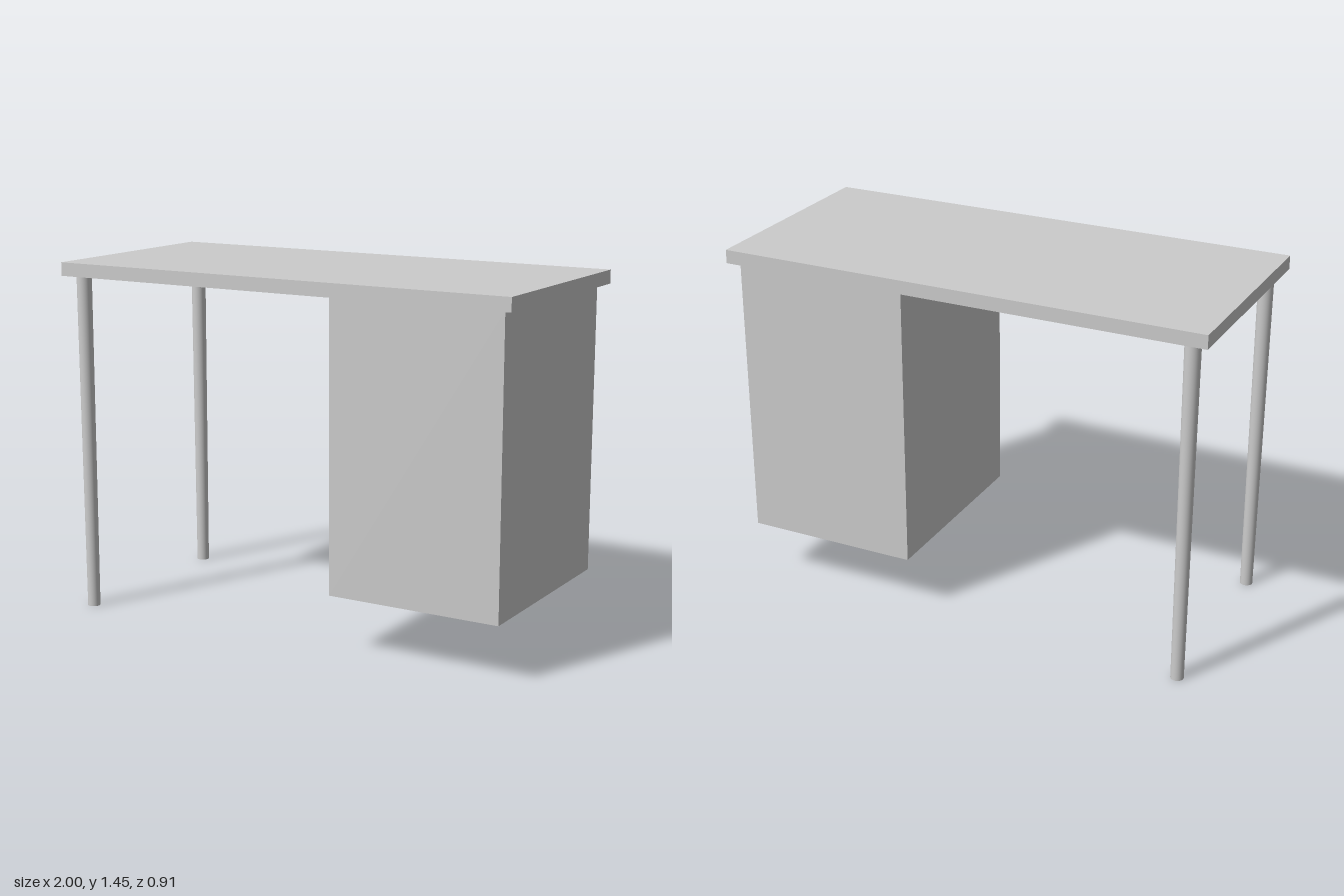
import * as THREE from 'three';

export function createModel() {
  const desk = new THREE.Group();
  desk.name = 'desk';

  const grey = new THREE.MeshStandardMaterial({ color: 0xcccccc });
  grey.name = 'light grey';

  function add(name, geometry, x, y, z) {
    const mesh = new THREE.Mesh(geometry, grey);
    mesh.name = name;
    mesh.position.set(x, y, z);
    desk.add(mesh);
  }

  // Worktop slab
  const height = 1.45, thickness = 0.055;
  const underside = height - thickness;
  add('worktop', new THREE.BoxGeometry(2, thickness, 0.91), 0, height - thickness / 2, 0);

  // Plain cabinet hanging under one end
  const cabinetBottom = 0.233, cabinetHeight = underside - cabinetBottom;
  add('cabinet', new THREE.BoxGeometry(0.72, cabinetHeight, 0.84), 0.6, cabinetBottom + cabinetHeight / 2, 0);

  // Two slightly tapered round legs at the other end
  const leg = new THREE.CylinderGeometry(0.031, 0.026, underside, 32);
  for (const side of [1, -1]) {
    add(side > 0 ? 'frontLeg' : 'backLeg', leg, -0.927, underside / 2, side * 0.402);
  }

  return desk;
}
